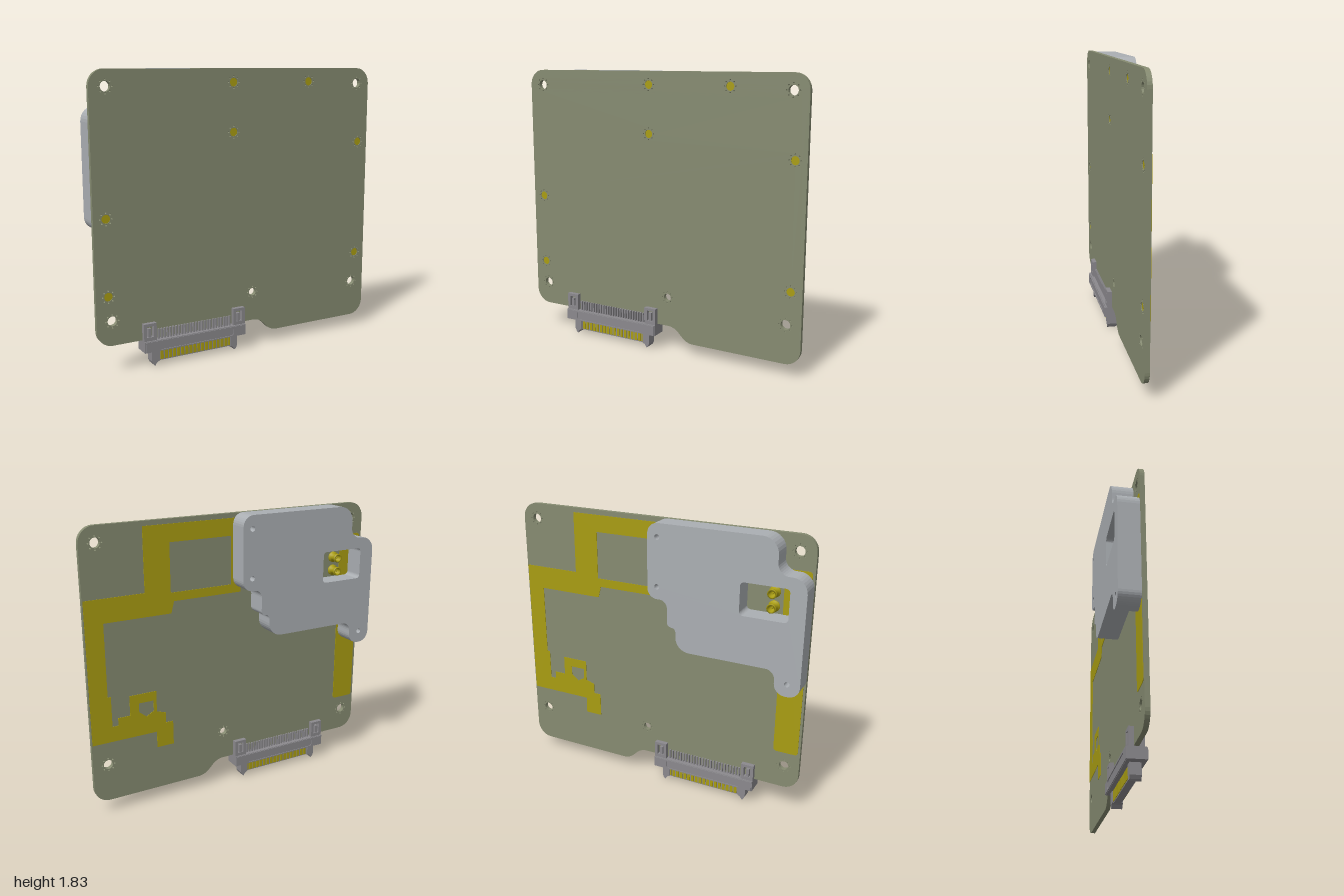
import * as THREE from 'three';

const mat = (name, color, side = THREE.FrontSide) => {
  const m = new THREE.MeshStandardMaterial({ color, side });
  m.name = name;
  return m;
};

// Closed outline from [x, y, cornerRadius] points
function outline(points, Type = THREE.Shape) {
  const s = new Type();
  const n = points.length;
  points.forEach(([x, y, r = 0], i) => {
    const p = new THREE.Vector2(x, y);
    const toward = (q, d) => p.clone().add(new THREE.Vector2(q[0], q[1]).sub(p).setLength(d));
    const prev = points[(i + n - 1) % n], next = points[(i + 1) % n];
    const a = r ? toward(prev, r) : p, b = r ? toward(next, r) : p;
    if (i === 0) s.moveTo(a.x, a.y); else s.lineTo(a.x, a.y);
    if (r) {
      const c = toward(prev, r * 0.45), d = toward(next, r * 0.45);
      s.bezierCurveTo(c.x, c.y, d.x, d.y, b.x, b.y);
    }
  });
  s.closePath();
  return s;
}
const rect = (x0, y0, x1, y1, r = 0, Type = THREE.Path) =>
  outline([[x0, y0, r], [x1, y0, r], [x1, y1, r], [x0, y1, r]], Type);
const circle = (x, y, r) => new THREE.Path().absarc(x, y, r, 0, Math.PI * 2, true);

export function createModel() {
  const model = new THREE.Group();
  const green = mat('board green', 0x868b71);
  const yellow = mat('copper yellow', 0xa99d12);
  const silver = mat('shield silver', 0xabafb3);
  const grey = mat('connector grey', 0x8b898d);

  const add = (name, geo, material, parent = model) => {
    const m = new THREE.Mesh(geo, material);
    m.name = name;
    parent.add(m);
    return m;
  };
  const slab = (name, shape, z0, z1, material, parent, curveSegments = 8) => {
    const geo = new THREE.ExtrudeGeometry(shape, { depth: z1 - z0, bevelEnabled: false, curveSegments });
    geo.translate(0, 0, z0);
    return add(name, geo, material, parent);
  };
  const box = (name, x0, x1, y0, y1, z0, z1, material, parent) => {
    const geo = new THREE.BoxGeometry(x1 - x0, y1 - y0, z1 - z0);
    geo.translate((x0 + x1) / 2, (y0 + y1) / 2, (z0 + z1) / 2);
    return add(name, geo, material, parent);
  };

  // Circuit board with mounting holes, screw holes and rings of small vias
  const back = 0.028, front = 0.057;
  const mounts = [[-0.9, 1.73, 0.031], [0.9, 1.73, 0.031], [-0.9, 0.33, 0.031], [0.9, 0.33, 0.031], [0.08, 0.37, 0.026]];
  const pads = [[-0.06, 1.745], [0.505, 1.745], [-0.06, 1.435], [0.925, 1.33], [-0.92, 0.96], [-0.92, 0.485], [0.925, 0.54]];
  const board = outline([[-1, 0.175, 0.1], [0.13, 0.175, 0.04], [0.225, 0.08, 0.04], [1, 0.08, 0.1], [1, 1.83, 0.1], [-1, 1.83, 0.1]]);
  for (const [x, y, r = 0.027] of [...mounts, ...pads]) {
    board.holes.push(circle(x, y, r));
    for (let i = 0; i < 8; i++) {
      const a = i * Math.PI / 4;
      board.holes.push(circle(x + Math.cos(a) * (r + 0.01), y + Math.sin(a) * (r + 0.01), 0.005));
    }
  }
  slab('circuitBoard', board, back, front, green);
  for (const [x, y] of pads) {
    const disc = new THREE.CylinderGeometry(0.0275, 0.0275, 0.024, 20).rotateX(Math.PI / 2);
    add('threadedPad', disc.translate(x, y, back + 0.0125), yellow);
  }

  // Copper areas on the back
  const copper = outline([
    [0.61, 1.8], [0.61, 1.4], [0.995, 1.4], [0.995, 0.48], [0.565, 0.48], [0.565, 0.37], [0.45, 0.37],
    [0.45, 0.53], [0.5, 0.53], [0.5, 0.6], [0.56, 0.62], [0.56, 0.76], [0.74, 0.76], [0.74, 0.63],
    [0.82, 0.63], [0.82, 0.58], [0.86, 0.58], [0.86, 0.78], [0.88, 0.78], [0.88, 1.25], [0.44, 1.25],
    [0.42, 1.325], [-0.05, 1.325], [-0.05, 1.8],
  ]);
  copper.holes.push(rect(0.02, 1.38, 0.44, 1.69));
  copper.holes.push(outline([[0.58, 0.63], [0.63, 0.6], [0.68, 0.64], [0.68, 0.7], [0.58, 0.7]], THREE.Path));
  slab('copperArea', copper, back - 0.003, back + 0.001, yellow);
  slab('copperStrip', rect(-0.985, 0.425, -0.825, 1.62, 0.02, THREE.Shape), back - 0.003, back + 0.001, yellow);

  // Shield can with stepped outline, window and screw holes
  const shield = outline([
    [0.005, 1.83, 0.07], [-0.82, 1.83, 0.1], [-0.82, 1.615, 0.07], [-1, 1.615, 0.09], [-1, 0.88, 0.07],
    [-0.84, 0.88, 0.07], [-0.84, 1.035, 0.06], [-0.19, 1.035, 0.09], [-0.19, 1.185, 0.03],
    [-0.13, 1.185, 0.03], [-0.13, 1.355, 0.05], [0.005, 1.355, 0.065],
  ]);
  shield.holes.push(rect(-0.9, 1.34, -0.6, 1.545, 0.025));
  for (const [x, y] of [pads[0], pads[2], pads[4]]) shield.holes.push(circle(x, y, 0.017));
  slab('shieldCan', shield, -0.105, back - 0.001, silver);

  // Coaxial jacks inside the window
  for (const y of [1.385, 1.475]) {
    const profile = [[0.035, 0], [0.035, 0.012], [0.022, 0.015], [0.022, 0.045], [0.029, 0.048], [0.029, 0.062], [0.02, 0.062], [0.017, 0.02], [0, 0.02]]
      .map(([r, h]) => new THREE.Vector2(r, h));
    const jack = new THREE.LatheGeometry(profile, 20).rotateX(-Math.PI / 2);
    add('coaxialJack', jack.toNonIndexed().translate(-0.77, y, back), yellow);
    const pin = new THREE.CylinderGeometry(0.006, 0.006, 0.05, 8).rotateX(Math.PI / 2);
    add('jackPin', pin.translate(-0.77, y, back - 0.025), yellow);
  }

  // Edge connector straddling the bottom of the board
  const plug = new THREE.Group();
  plug.name = 'edgeConnector';
  model.add(plug);
  const mid = 0.045;
  box('connectorBody', -0.71, 0.005, 0.1, 0.172, -0.01, 0.098, grey, plug);
  for (const s of [-1, 1]) {
    const face = mid + s * 0.054;
    const frame = rect(-0.705, 0.103, 0, 0.169, 0, THREE.Shape);
    frame.holes.push(rect(-0.62, 0.11, -0.09, 0.165, 0.015));
    slab('bodyFrame', frame, Math.min(face, face + s * 0.006), Math.max(face, face + s * 0.006), grey, plug);

    // Solder tails along the board
    for (let i = 0; i < 26; i++) {
      const x = -0.605 + i * 0.0202;
      const z = mid + s * 0.022;
      box('solderTail', x - 0.005, x + 0.005, 0.17, 0.235, z - 0.008, z + 0.008, grey, plug);
    }
    // Slotted retention towers
    for (const x of [-0.71, -0.08]) {
      const tower = rect(x, 0.1, x + 0.085, 0.283, 0, THREE.Shape);
      tower.holes.push(rect(x + 0.02, 0.195, x + 0.065, 0.265));
      const z0 = s > 0 ? front : -0.002;
      slab('retentionTower', tower, z0, z0 + 0.03, grey, plug);
      box('towerLatch', x + 0.03, x + 0.05, 0.19, 0.25, z0 + 0.004, z0 + 0.026, grey, plug);
    }
    // Contacts on the tongue
    for (let i = 0; i < 18; i++) {
      const x = -0.585 + i * 0.0285;
      const z = mid + s * 0.024;
      box('contact', x - 0.0095, x + 0.0095, 0.035, 0.1, z - 0.004, z + 0.004, yellow, plug);
    }
  }
  box('tongue', -0.62, -0.08, 0.028, 0.1, mid - 0.023, mid + 0.023, grey, plug);
  // Tapered guide prongs at both ends of the tongue
  for (const [outer, inner] of [[-0.657, -0.605], [-0.048, -0.1]]) {
    const d = Math.sign(inner - outer);
    const pts = [[outer, 0.1], [outer, 0.03], [outer + d * 0.01, 0.01], [outer + d * 0.02, 0], [outer + d * 0.035, 0.022], [inner, 0.03], [inner, 0.1]];
    slab('guideProng', outline(pts), mid - 0.033, mid + 0.033, grey, plug);
  }
  return model;
}
